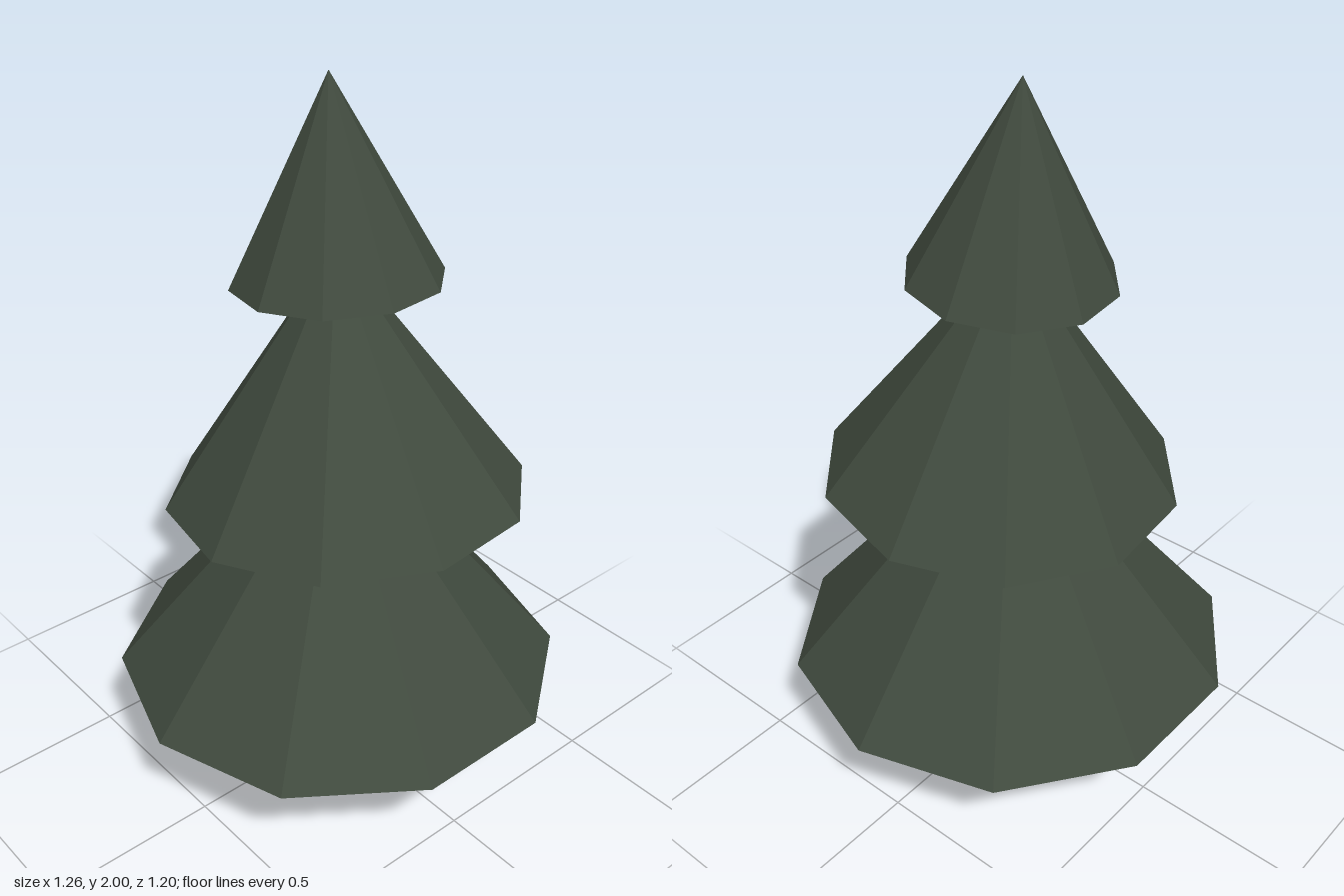
import * as THREE from 'three';

export function createModel() {
  const tree = new THREE.Group();
  tree.name = 'pineTree';

  const foliage = new THREE.MeshStandardMaterial({ color: 0x404a3e, flatShading: true });
  const bark = new THREE.MeshStandardMaterial({ color: 0x4e3c2e, flatShading: true });

  // Trunk: a six-sided tube with a flared foot, leaning slightly to +x
  const rings = [
    { y: 0, r: 0.137, x: -0.002, z: 0.004, slope: 0 },
    { y: 0.085, r: 0.1, x: 0.001, z: 0.007, slope: 0.1 },
    { y: 0.4, r: 0.051, x: 0.028, z: 0.009, slope: 0 },
  ];
  const trunkGeometry = new THREE.CylinderGeometry(1, 1, 2, 6, 2, false, Math.PI / 6);
  const p = trunkGeometry.attributes.position;
  for (let i = 0; i < p.count; i++) {
    const ring = rings[Math.round(p.getY(i)) + 1];
    const x = p.getX(i) * ring.r;
    p.setXYZ(i, x + ring.x, ring.y + x * ring.slope, p.getZ(i) * ring.r + ring.z);
  }
  trunkGeometry.computeVertexNormals();
  const trunk = new THREE.Mesh(trunkGeometry, bark);
  trunk.name = 'trunk';
  tree.add(trunk);

  // Foliage: three ten-sided cones, the upper two twisted and tipped backwards
  const tiers = [
    { name: 'lowerFoliage', r: 0.63, h: 0.755, y: 0.315, z: 0, tilt: 0, spin: 0 },
    { name: 'middleFoliage', r: 0.491, h: 0.69, y: 0.885, z: 0.036, tilt: -0.064, spin: 0.1 },
    { name: 'topFoliage', r: 0.277, h: 0.519, y: 1.482, z: -0.002, tilt: -0.064, spin: 0.105 },
  ];
  for (const t of tiers) {
    const geometry = new THREE.ConeGeometry(t.r, t.h, 10, 1, false, Math.PI / 10);
    geometry.translate(0, t.h / 2, 0);
    const cone = new THREE.Mesh(geometry, foliage);
    cone.name = t.name;
    cone.position.set(0, t.y, t.z);
    cone.rotation.set(t.tilt, t.spin, 0);
    tree.add(cone);
  }

  return tree;
}
